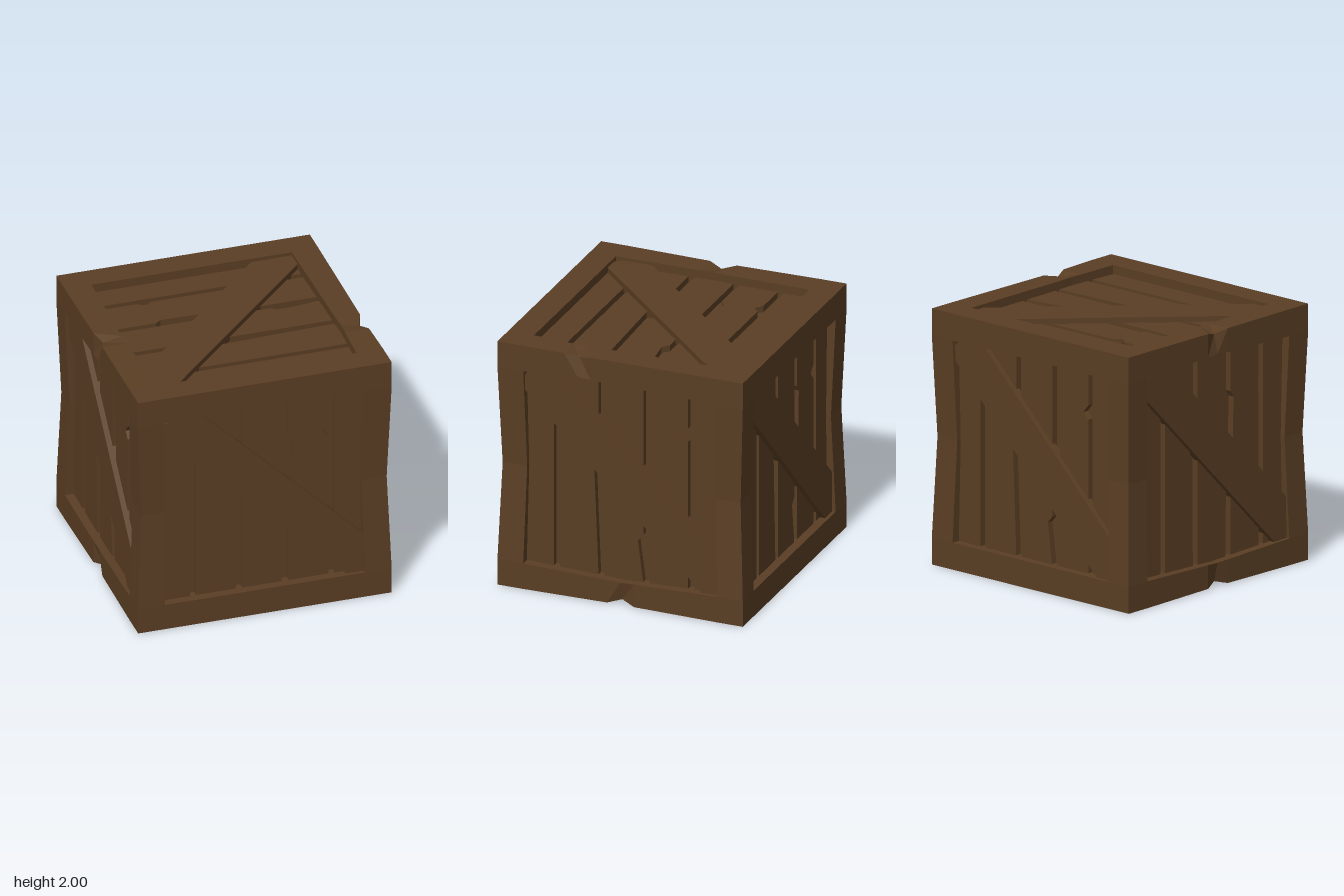
import * as THREE from 'three';

const IN = 0.79; // inner edge of the frame

export function createModel() {
  const root = new THREE.Group();
  root.name = 'crate';
  const crate = new THREE.Group();
  crate.name = 'crateBody';
  crate.position.y = 1;
  root.add(crate);

  const wood = new THREE.MeshStandardMaterial({ color: 0x5a3e24, flatShading: true });
  wood.name = 'brown wood';

  const add = (parent, geometry, name) => {
    const mesh = new THREE.Mesh(geometry, wood);
    mesh.name = name;
    parent.add(mesh);
    return mesh;
  };

  // Cross-section of a corner beam: outer faces, inner faces, corner edge
  const ring = (t, oa = 1, ob = 1, ia = IN, ib = IN, ca = oa, cb = ob) =>
    [[ca, cb, t], [ia, ob, t], [ia, ib, t], [oa, ib, t]];

  // Lofts rings into a closed beam; place() maps (a, b, t) to x, y, z
  function beam(rings, place, flip) {
    const pos = [];
    const tri = (p, q, r) => {
      for (const v of flip ? [p, r, q] : [p, q, r]) pos.push(...place(...v));
    };
    const quad = (p, q, r, s) => { tri(p, q, r); tri(p, r, s); };
    for (let i = 0; i < rings.length - 1; i++) {
      const A = rings[i], B = rings[i + 1];
      for (let j = 0; j < 4; j++) {
        const k = (j + 1) % 4;
        quad(A[j], A[k], B[k], B[j]);
      }
    }
    const first = rings[0], last = rings[rings.length - 1];
    quad(last[0], last[1], last[2], last[3]);
    quad(first[3], first[2], first[1], first[0]);
    const g = new THREE.BufferGeometry();
    g.setAttribute('position', new THREE.Float32BufferAttribute(pos, 3));
    g.computeVertexNormals();
    return g;
  }

  // Frame: posts bowed inwards, plain cross beams, chipped side beams
  const postRings = [ring(-IN), ring(0, 0.97, 0.97, 0.77, 0.77), ring(IN)];
  const crossRings = [ring(-IN), ring(IN)];
  const chipRings = (c) => [
    ring(-1), ring(-IN),
    ring(c - 0.11, 0.995, 0.995, 0.805, 0.81),
    ring(c, 0.99, 0.995, 0.81, 0.815, 0.955, 0.965),
    ring(c + 0.11, 0.995, 0.995, 0.805, 0.81),
    ring(IN), ring(1),
  ];
  for (const p of [-1, 1]) {
    for (const q of [-1, 1]) {
      const mirrored = p * q < 0;
      add(crate, beam(postRings, (a, b, t) => [p * a, t, q * b], !mirrored), 'cornerPost');
      add(crate, beam(crossRings, (a, b, t) => [t, p * a, q * b], mirrored), 'crossBeam');
      const chip = p > 0 && q > 0 ? 0.35 : 0;
      add(crate, beam(chipRings(chip), (a, b, t) => [p * a, q * b, t], mirrored), 'sideBeam');
    }
  }

  // Backing seen through the gaps between planks
  add(crate, new THREE.BoxGeometry(1.76, 1.76, 1.76), 'backing');

  // Plank outlines, with worn and splintered edges
  const E = 0.82;
  const planks = [
    [[-E, -E], [-0.57, -E], [-0.57, E], [-E, E]],
    [[-0.52, -E], [-0.205, -E], [-0.24, 0.08], [-0.205, 0.13], [-0.205, E], [-0.52, E]],
    [[-0.155, -E], [0.16, -E], [0.115, -0.47], [0.16, -0.42], [0.16, E], [-0.155, E]],
    [[0.21, -E], [0.525, -E], [0.525, 0.41], [0.475, 0.46], [0.525, 0.52], [0.525, E],
      [0.21, E], [0.21, 0.47], [0.245, 0.42], [0.235, 0], [0.21, -0.15]],
    [[0.575, -E], [E, -E], [E, E], [0.575, E]],
  ];
  const brace = [[-0.8, 0.64], [0.66, -0.8], [0.8, -0.8], [0.8, -0.48],
    [-0.5, 0.8], [-0.72, 0.8], [-0.8, 0.74]];

  const plate = (pts, from, to) => {
    const shape = new THREE.Shape(pts.map(([x, y]) => new THREE.Vector2(x, y)));
    const g = new THREE.ExtrudeGeometry(shape, { depth: to - from, bevelEnabled: false });
    return g.translate(0, 0, from);
  };
  const plankGeometries = planks.map((p) => plate(p, 0.86, 0.93));
  const braceGeometry = plate(brace, 0.9, 0.972);

  // The same panel on all six sides: [name, pitch, turn, roll]
  const H = Math.PI / 2;
  const sides = [
    ['frontPanel', 0, 0, 0], ['leftPanel', 0, H, 0],
    ['backPanel', 0, 2 * H, 0], ['rightPanel', 0, -H, 0],
    ['topPanel', -H, 0, H], ['bottomPanel', H, 0, H],
  ];
  for (const [name, pitch, turn, roll] of sides) {
    const panel = new THREE.Group();
    panel.name = name;
    panel.rotation.set(pitch, turn, roll);
    plankGeometries.forEach((g) => add(panel, g, 'plank'));
    add(panel, braceGeometry, 'diagonalBrace');
    crate.add(panel);
  }
  return root;
}
